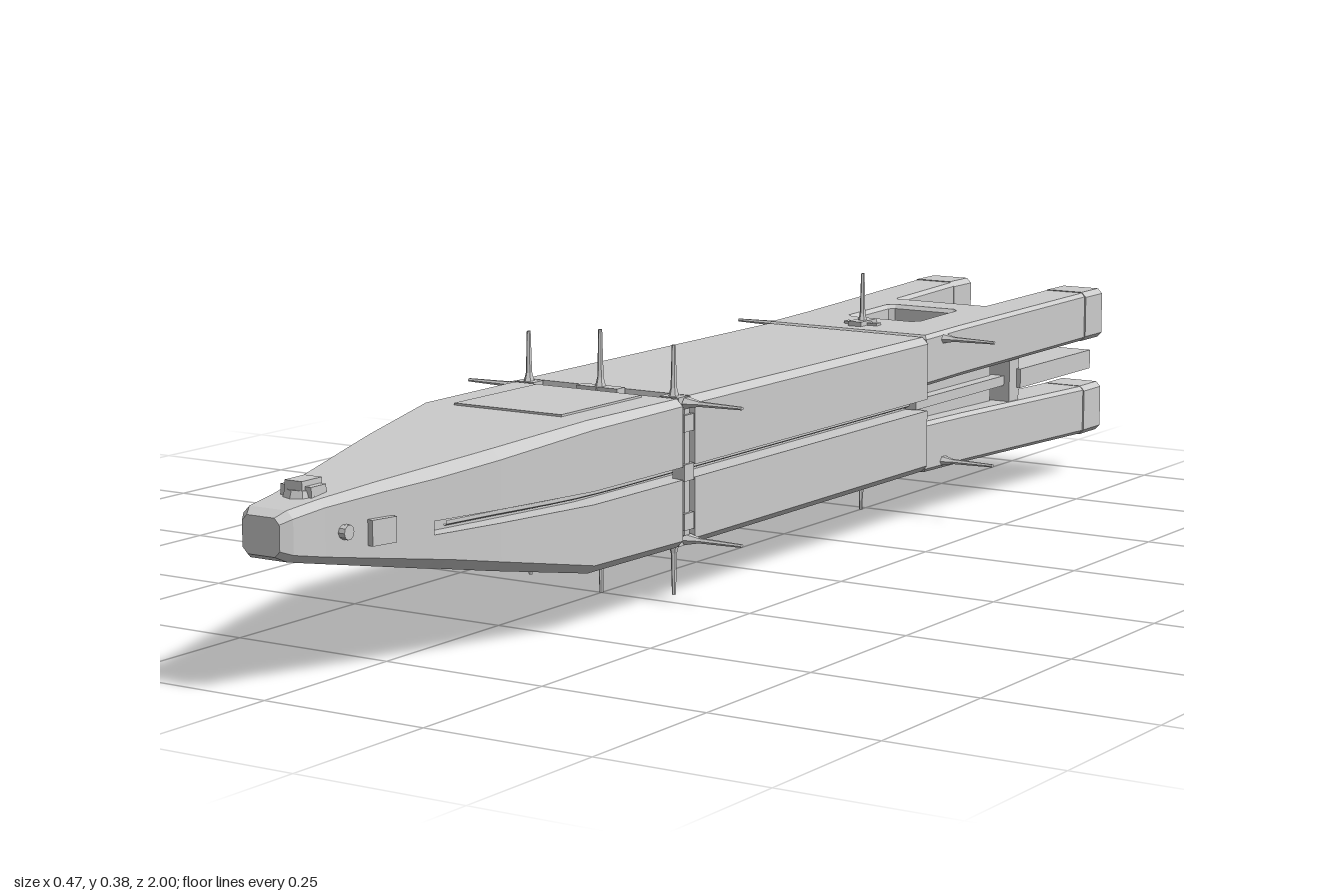
import * as THREE from 'three';

const mat = new THREE.MeshStandardMaterial({ color: 0xcccccc, flatShading: true, side: THREE.DoubleSide });
const MID = 0.19; // height of the hull's centre line

function add(parent, name, geometry, x = 0, y = 0, z = 0) {
  const mesh = new THREE.Mesh(geometry, mat);
  mesh.name = name;
  mesh.position.set(x, y, z);
  parent.add(mesh);
  return mesh;
}

function box(parent, name, x0, x1, y0, y1, z0, z1) {
  return add(parent, name, new THREE.BoxGeometry(x1 - x0, y1 - y0, z1 - z0),
    (x0 + x1) / 2, (y0 + y1) / 2, (z0 + z1) / 2);
}

// Bevelled box section with a slot of depth d along each side
function hullSection([z, w, top, bottom, d, c]) {
  const g = 0.009, gy = Math.max(MID, bottom + c + 0.012);
  const half = [[w - c, top], [w, top - c], [w, gy + g], [w - d, gy + g],
    [w - d, gy - g], [w, gy - g], [w, bottom + c], [w - c, bottom]];
  const other = half.slice().reverse().map(([x, y]) => [-x, y]);
  return half.concat(other).map(([x, y]) => [x, y, z]);
}

// Skin a list of sections and close both ends
function loft(sections) {
  const pos = [], n = sections[0].length;
  const tri = (a, b, c) => pos.push(...a, ...b, ...c);
  for (let s = 0; s < sections.length - 1; s++) {
    const a = sections[s], b = sections[s + 1];
    for (let i = 0; i < n; i++) {
      const j = (i + 1) % n;
      tri(a[i], a[j], b[i]);
      tri(a[j], b[j], b[i]);
    }
  }
  const first = sections[0], last = sections[sections.length - 1];
  for (let i = 0; i < n; i++) {
    const j = (i + 1) % n;
    tri([0, 0.21, first[0][2]], first[j], first[i]);
    tri([0, MID, last[0][2]], last[i], last[j]);
  }
  const geo = new THREE.BufferGeometry();
  geo.setAttribute('position', new THREE.Float32BufferAttribute(pos, 3));
  geo.computeVertexNormals();
  return geo;
}

const rectPath = (Type, x0, x1, y0, y1, c) => new Type([
  [x0 + c, y0], [x1 - c, y0], [x1, y0 + c], [x1, y1 - c],
  [x1 - c, y1], [x0 + c, y1], [x0, y1 - c], [x0, y0 + c],
].map(([x, y]) => new THREE.Vector2(x, y)));

// Forked stern slab, thickening and rising slightly towards the back
function forkSlab(withHatch) {
  const right = [[0.146, 0.432], [0.147, 0.55], [0.155, 0.75], [0.163, 0.95], [0.086, 0.95], [0.079, 0.745]];
  const left = right.slice().reverse().map(([x, y]) => [-x, y]);
  const shape = new THREE.Shape(right.concat(left).map(([x, y]) => new THREE.Vector2(x, y)));
  if (withHatch) shape.holes.push(rectPath(THREE.Path, -0.06, 0.06, 0.55, 0.68, 0.008));
  const b = 0.006;
  const geo = new THREE.ExtrudeGeometry(shape, {
    depth: 0.08 - 2 * b, bevelEnabled: true, bevelSize: b, bevelThickness: b, bevelOffset: -b, bevelSegments: 1,
  });
  geo.rotateX(-Math.PI / 2).translate(0, 0.218 + b, 0);
  const p = geo.attributes.position;
  for (let i = 0; i < p.count; i++) p.setY(i, p.getY(i) + 0.012 * (-0.43 - p.getZ(i)) / 0.57);
  geo.computeVertexNormals();
  return geo;
}

// Tapered mast standing along its own +y
function mast(length) {
  const g = new THREE.Group();
  g.name = 'mast';
  add(g, 'mastRod', new THREE.CylinderGeometry(0.0025, 0.0045, length, 6), 0, length / 2, 0);
  add(g, 'mastFoot', new THREE.CylinderGeometry(0.004, 0.009, 0.022, 6), 0, 0.009, 0);
  g.scale.z = 1.4;
  return g;
}

// Everything that is shared by the upper and lower halves of the ship
function halfShip(upper) {
  const g = new THREE.Group();
  g.name = upper ? 'upperHalf' : 'lowerHalf';
  add(g, 'sternFork', forkSlab(upper));
  if (upper) box(g, 'hatchFloor', -0.065, 0.065, 0.225, 0.272, -0.69, -0.54);

  // Hollow fork ends
  for (const s of [-1, 1]) {
    const frame = rectPath(THREE.Shape, -0.04, 0.04, -0.041, 0.041, 0.008);
    frame.holes.push(rectPath(THREE.Path, -0.029, 0.029, -0.03, 0.03, 0.006));
    add(g, 'forkEnd', new THREE.ExtrudeGeometry(frame, { depth: 0.06, bevelEnabled: false }), s * 0.125, 0.269, -1);
  }

  const place = (len, x, y, z, roll = 0) => {
    const m = mast(len);
    m.position.set(x, y, z);
    m.rotation.z = roll;
    g.add(m);
  };
  // Upright masts
  place(0.088, 0, 0.292, 0.25);
  place(0.084, 0, 0.296, -0.485);
  for (const s of [-1, 1]) {
    place(0.08, s * 0.124, 0.288, 0.25);
    // Sideways masts
    for (const z of [0.245, -0.49]) place(0.09, s * 0.144, 0.287, z, -s * Math.PI / 2);
    box(g, 'mastBlock', s * 0.124 - 0.016, s * 0.124 + 0.016, 0.28, 0.296, 0.238, 0.262);
  }
  // Mounting blocks on the centre line
  box(g, 'mastBlock', -0.035, 0.035, 0.28, 0.299, 0.24, 0.26);
  box(g, 'mastBlock', -0.03, 0.03, 0.288, 0.303, -0.492, -0.478);
  box(g, 'mastBlock', -0.012, 0.012, 0.288, 0.306, -0.51, -0.46);
  return g;
}

export function createModel() {
  const ship = new THREE.Group();
  ship.name = 'ship';

  // Main hull: z, half width, top, bottom, slot depth, bevel
  add(ship, 'hull', loft([
    [1.0, 0.03, 0.236, 0.186, 0, 0.008],
    [0.985, 0.04, 0.244, 0.178, 0, 0.01],
    [0.93, 0.046, 0.25, 0.167, 0, 0.01],
    [0.84, 0.068, 0.26, 0.15, 0, 0.012],
    [0.76, 0.089, 0.268, 0.135, 0, 0.014],
    [0.74, 0.094, 0.27, 0.132, 0.025, 0.014],
    [0.65, 0.115, 0.279, 0.115, 0.03, 0.014],
    [0.48, 0.147, 0.295, 0.085, 0.035, 0.012],
    [0.265, 0.149, 0.295, 0.084, 0.035, 0.01],
    [0.264, 0.139, 0.287, 0.092, 0.025, 0.01],
    [0.236, 0.139, 0.287, 0.092, 0.025, 0.01],
    [0.235, 0.15, 0.296, 0.084, 0.035, 0.01],
    [-0.43, 0.15, 0.296, 0.084, 0.035, 0.01],
  ].map(hullSection)));
  box(ship, 'forePanel', -0.09, 0.09, 0.285, 0.298, 0.28, 0.475);

  // Upper half, and the same turned over for the lower half
  ship.add(halfShip(true));
  const lower = halfShip(false);
  lower.rotation.z = Math.PI;
  lower.position.y = 2 * MID;
  ship.add(lower);

  // Recessed core between the stern slabs
  box(ship, 'sternCore', -0.115, 0.115, 0.155, 0.225, -0.7, -0.42);

  for (const s of [-1, 1]) {
    const span = (name, a, b, ...rest) => box(ship, name, Math.min(s * a, s * b), Math.max(s * a, s * b), ...rest);
    span('sternPillar', 0.085, 0.145, 0.155, 0.225, -0.742, -0.71);
    span('middleProng', 0.092, 0.152, 0.176, 0.207, -0.985, -0.735);
    span('sternRail', 0.1, 0.135, 0.182, 0.198, -0.71, -0.42);
    // Post and clamps in the side band
    span('bandPost', 0.135, 0.146, 0.1, 0.28, 0.244, 0.256);
    for (const y of [0.12, 0.19, 0.26]) span('bandClamp', 0.13, 0.15, y - 0.012, y + 0.012, 0.238, 0.262);
    // Pipe lying in the side slot
    const path = new THREE.CatmullRomCurve3([[0.075, 0.72], [0.09, 0.63], [0.116, 0.48], [0.119, 0.2], [0.119, -0.43]]
      .map(([x, z]) => new THREE.Vector3(s * x, MID, z)));
    add(ship, 'slotPipe', new THREE.TubeGeometry(path, 24, 0.005, 6));
    // Bow pods
    const pod = add(ship, 'bowPod', new THREE.BoxGeometry(0.014, 0.034, 0.04), s * 0.069, 0.199, 0.845);
    pod.rotation.y = -s * 0.22;
    const lens = add(ship, 'bowPort', new THREE.CylinderGeometry(0.01, 0.01, 0.012, 10), s * 0.055, 0.205, 0.9);
    lens.rotation.z = Math.PI / 2;
  }

  // Small turret on the bow
  add(ship, 'turretBase', new THREE.CylinderGeometry(0.024, 0.028, 0.012, 10), 0, 0.253, 0.915);
  box(ship, 'turret', -0.014, 0.014, 0.255, 0.271, 0.895, 0.935);
  for (const s of [-1, 1]) box(ship, 'turretCheek', s * 0.02 - 0.005, s * 0.02 + 0.005, 0.25, 0.264, 0.9, 0.93);
  return ship;
}
